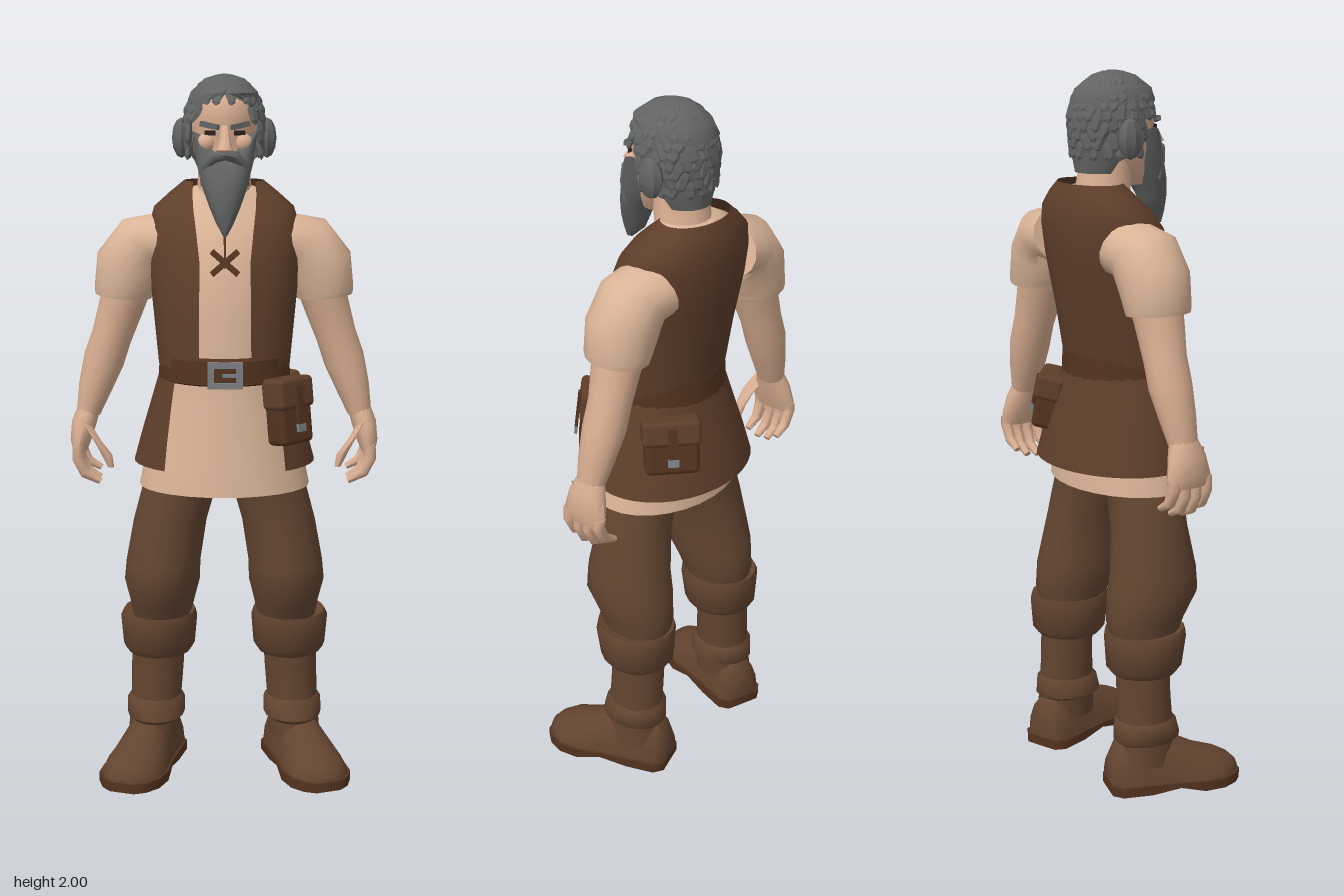
import * as THREE from 'three';
import { toCreasedNormals, mergeGeometries } from 'three/addons/utils/BufferGeometryUtils.js';
import { RoundedBoxGeometry } from 'three/addons/geometries/RoundedBoxGeometry.js';

const mat = (name, color, side = THREE.FrontSide) => {
  const m = new THREE.MeshStandardMaterial({ color, side });
  m.name = name;
  return m;
};
const RAD = Math.PI / 180;

// Elliptical ring, tilted in the xy plane; gap leaves an opening at the front
function ring([x, y, z, rx, rz, tilt = 0], n = 16, gap = 0, lift = 0) {
  const pts = [], count = gap ? n + 1 : n;
  const c = Math.cos(tilt * RAD), s = Math.sin(tilt * RAD);
  for (let i = 0; i < count; i++) {
    const a = gap * RAD + (i / n) * (2 * Math.PI - 2 * gap * RAD);
    const u = rx * Math.sin(a);
    pts.push([x + u * c, y + u * s + lift * Math.sin(a) ** 2, z + rz * Math.cos(a)]);
  }
  return pts;
}
// Body ring from height, half width, front z and back z
const body = (y, rx, zf, zb) => [0, y, (zf + zb) / 2, rx, (zf - zb) / 2];

// Skin over a row of rings; closed solids get end caps and outward faces
function loft(rings, closed = true, crease = 0.85) {
  const n = rings[0].length, pos = rings.flat(2), idx = [];
  for (let r = 0; r < rings.length - 1; r++)
    for (let i = 0; i < (closed ? n : n - 1); i++) {
      const a = r * n + i, b = r * n + (i + 1) % n;
      idx.push(a, b, a + n, b, b + n, a + n);
    }
  if (closed) {
    [0, rings.length - 1].forEach((r) => {
      const mid = [0, 1, 2].map((k) => rings[r].reduce((t, p) => t + p[k], 0) / n);
      const m = pos.length / 3;
      pos.push(...mid);
      for (let i = 0; i < n; i++) {
        const a = r * n + i, b = r * n + (i + 1) % n;
        r ? idx.push(a, b, m) : idx.push(b, a, m);
      }
    });
    const v = (i) => new THREE.Vector3().fromArray(pos, i * 3);
    let volume = 0;
    for (let i = 0; i < idx.length; i += 3) volume += v(idx[i]).dot(v(idx[i + 1]).cross(v(idx[i + 2])));
    if (volume < 0) idx.reverse();
  }
  const g = new THREE.BufferGeometry();
  g.setAttribute('position', new THREE.Float32BufferAttribute(pos, 3));
  g.setIndex(idx);
  return toCreasedNormals(g, crease);
}

export function createModel() {
  const M = {
    skin: mat('skin', 0xd8ad90), shirt: mat('linen shirt', 0xdab497),
    vest: mat('vest leather', 0x5f3e2b, THREE.DoubleSide), trousers: mat('trousers', 0x634531),
    boots: mat('boot leather', 0x634430), leather: mat('belt leather', 0x54331f),
    hair: mat('grey hair', 0x626463, THREE.DoubleSide), steel: mat('steel', 0x7c8084),
    dark: mat('dark eye', 0x2a211c),
  };
  const model = new THREE.Group();
  const add = (name, geo, m, parent = model) => {
    const mesh = new THREE.Mesh(geo, m);
    mesh.name = name;
    parent.add(mesh);
    return mesh;
  };
  const solid = (name, rows, m, n = 16, parent = model) => add(name, loft(rows.map((r) => ring(r, n))), m, parent);
  // Open garment: rows are [y, rx, front z, back z, opening angle]
  const sheet = (name, rows, m, n = 28) =>
    add(name, loft(rows.map(([y, rx, f, b, gap]) => ring(body(y, rx, f, b), n, gap)), false), m);
  const block = (name, size, at, rot, m, parent) => {
    const mesh = add(name, new THREE.BoxGeometry(...size), m, parent);
    mesh.position.set(...at);
    mesh.rotation.set(...rot);
    return mesh;
  };

  // Shirt, vest and flared vest tail
  solid('shirt', [[.86, .24, .19, -.165], [.95, .222, .18, -.16], [1.1, .182, .155, -.135], [1.2, .163, .145, -.12],
    [1.35, .18, .14, -.145], [1.5, .197, .115, -.172], [1.6, .185, .07, -.178], [1.66, .14, .02, -.162],
    [1.69, .085, .005, -.14]].map((r) => body(...r)), M.shirt, 28);
  sheet('vest', [[1.205, .183, .163, -.135, 23], [1.35, .197, .153, -.157, 21], [1.5, .212, .13, -.185, 19],
    [1.585, .21, .09, -.193, 22], [1.635, .195, .05, -.19, 26], [1.675, .15, .012, -.18, 36],
    [1.705, .112, -.015, -.165, 50]], M.vest);
  sheet('vestTail', [[1.19, .18, .158, -.138, 49], [1.1, .206, .173, -.165, 46], [1, .235, .187, -.195, 43],
    [.925, .255, .195, -.213, 41]], M.vest);

  // Belt with a framed buckle
  solid('belt', [[1.165, .175], [1.17, .184], [1.235, .181], [1.24, .172]].map(([y, r]) => body(y, r, r - .015, .04 - r)), M.leather, 28);
  const frame = new THREE.Shape([[-.048, -.037], [.048, -.037], [.048, .037], [-.048, .037]].map((p) => new THREE.Vector2(...p)));
  frame.holes.push(new THREE.Path([[-.03, -.02], [-.03, .02], [.03, .02], [.03, -.02]].map((p) => new THREE.Vector2(...p))));
  add('buckle', new THREE.ExtrudeGeometry(frame, { depth: .012, bevelEnabled: false }), M.steel).position.set(0, 1.198, .162);
  block('bucklePin', [.045, .01, .008], [.015, 1.198, .171], [0, 0, 0], M.steel);

  // Lacing at the collar
  block('collarSlit', [.006, .13, .006], [0, 1.545, .098], [-.45, 0, 0], M.leather);
  for (const s of [-1, 1]) block('lace', [.095, .015, .012], [0, 1.5, .122], [-.3, 0, s * .72], M.leather);

  // Belt pouches, front and back
  const pouch = (name, at, turn, tilt, w, h) => {
    const g = new THREE.Group();
    g.name = name;
    add('pouchBody', new RoundedBoxGeometry(w, h, .07, 2, .015), M.leather, g);
    add('pouchFlap', new RoundedBoxGeometry(w + .012, h * .48, .08, 2, .014), M.vest, g).position.set(0, h * .29, .003);
    block('pouchStrap', [.025, h * .6, .008], [0, h * .1, .046], [0, 0, 0], M.leather, g);
    block('pouchClasp', [.03, .022, .008], [0, -h * .24, .046], [0, 0, 0], M.steel, g);
    g.position.set(...at);
    g.rotation.set(tilt, turn, 0, 'YXZ');
    model.add(g);
  };
  pouch('frontPouch', [.175, 1.09, .125], .75, -.12, .12, .18);
  pouch('backPouch', [.143, 1.08, -.13], 2.42, -.2, .15, .15);

  for (const s of [-1, 1]) {
    const side = s > 0 ? 'left' : 'right';
    const limb = (name, rows, m, n = 16) =>
      solid(side + name, rows.map(([x, y, z, a, b, t = 0]) => [s * x, y, z, a, b, s * t]), m, n);

    // Sleeve, arm and hand
    limb('Sleeve', [[.16, 1.54, -.07, .08, .1, 75], [.225, 1.53, -.07, .09, .1, 50], [.262, 1.47, -.067, .1, .098, 22],
      [.282, 1.4, -.067, .083, .094, 7], [.283, 1.385, -.067, .08, .09, 5]], M.shirt);
    limb('Arm', [[.27, 1.42, -.067, .068, .075, 20], [.292, 1.35, -.067, .063, .068, 20], [.318, 1.27, -.07, .057, .06, 20],
      [.342, 1.2, -.07, .058, .06, 20], [.368, 1.12, -.065, .047, .052, 18], [.387, 1.05, -.06, .034, .042, 12]], M.skin);
    limb('Palm', [[.385, 1.065, -.06, .032, .04, 12], [.4, 1.02, -.058, .035, .058, 8], [.41, .97, -.058, .03, .07, 0],
      [.412, .94, -.058, .02, .066, 0]], M.skin, 12);
    for (let i = 0; i < 4; i++) {
      const z = -.11 + i * .035, d = [.025, .005, 0, .012][i];
      limb('Finger', [[.412, .965, z, .018, .018], [.415, .915 + d, z, .018, .017, -15], [.395, .872 + d, z, .016, .015, -35],
        [.355, .85 + d, z, .009, .01, -55]], M.skin, 8);
    }
    limb('Thumb', [[.392, 1.03, -.02, .022, .024, 40], [.362, .985, .004, .021, .02, 35], [.335, .945, .01, .018, .017, 15],
      [.322, .905, .01, .009, .01, 5]], M.skin, 8);

    // Trouser leg and boot
    limb('TrouserLeg', [[.1, .96, 0, .095, .12], [.125, .86, .005, .105, .11], [.155, .75, 0, .104, .112], [.175, .63, 0, .106, .13],
      [.179, .57, -.005, .108, .138], [.18, .5, -.03, .093, .12], [.182, .44, -.035, .08, .1]], M.trousers);
    limb('BootCuff', [[.188, .462, -.038, .085, .1], [.188, .47, -.038, .104, .116], [.19, .45, -.038, .111, .12],
      [.19, .365, -.042, .104, .11], [.19, .345, -.042, .09, .095], [.19, .36, -.042, .07, .075]], M.boots);
    limb('BootShaft', [[.19, .4, -.045, .077, .08], [.195, .3, -.048, .076, .078], [.2, .2, -.045, .073, .082],
      [.208, .08, -.045, .075, .09]], M.boots);
    limb('AnkleBand', [[.203, .14, -.04, .072, .092], [.201, .15, -.04, .084, .1], [.2, .195, -.045, .084, .092],
      [.2, .21, -.045, .07, .08]], M.boots);
    const foot = new THREE.Group();
    foot.name = side + 'Foot';
    const last = [[-.13, .045, .1], [-.105, .068, .15], [-.02, .073, .18], [.06, .08, .145], [.13, .092, .105],
      [.19, .085, .085], [.23, .06, .065], [.25, .03, .045]];
    add('bootFoot', loft(last.map(([z, w, h]) => Array.from({ length: 16 }, (_, i) => {
      const a = i * Math.PI / 8;
      return [w * Math.cos(a), .02 + (h - .02) * Math.max(0, Math.sin(a)), z];
    }))), M.boots, foot);
    add('bootSole', loft(last.map(([z, w]) => [[1, 0], [1, .028], [-1, .028], [-1, 0]].map(([k, y]) =>
      [k * (w + .006), y || (z > 0 && z < .1 ? .014 : 0), z * 1.01]))), M.leather, foot);
    foot.position.set(s * .215, 0, -.03);
    foot.rotation.y = s * .32;
    model.add(foot);

    // Eye, brow, moustache half and side tuft
    block('eye', [.03, .012, .006], [s * .04, 1.846, .097], [0, s * .4, 0], M.dark);
    block('brow', [.052, .014, .016], [s * .041, 1.866, .1], [0, s * .4, s * .18], M.hair);
    limb('Moustache', [[.0, 1.79, .13, .014, .016, 80], [.03, 1.783, .122, .016, .018, 60], [.055, 1.755, .105, .013, .016, 20],
      [.062, 1.705, .1, .004, .006, 0]], M.hair, 8);
    add('cheekbone', new THREE.SphereGeometry(.026, 12, 8), M.skin).position.set(s * .05, 1.818, .08);
    const tuft = new THREE.SphereGeometry(1, 8, 6).scale(.026, .055, .038);
    add(side + 'EarTuft', toCreasedNormals(tuft, .4), M.hair).position.set(s * .118, 1.825, -.04);
  }

  // Neck, head and nose
  solid('neck', [[0, 1.6, -.055, .1, .1], [0, 1.67, -.05, .076, .078], [0, 1.79, -.03, .068, .075]], M.skin);
  solid('head', [[1.69, .035, .085, 0], [1.73, .06, .102, -.06], [1.79, .083, .104, -.1], [1.84, .09, .1, -.115],
    [1.87, .091, .11, -.12], [1.93, .087, .1, -.115], [1.975, .055, .05, -.08]].map((r) => body(...r)), M.skin, 20);
  solid('nose', [[0, 1.866, .1, .011, .012], [0, 1.83, .115, .015, .022], [0, 1.803, .126, .023, .029], [0, 1.79, .115, .014, .018]], M.skin, 10);

  // Beard, sweeping up along the cheeks and down to a point
  const beard = [[1.775, .089, .118, .0, .075], [1.74, .078, .138, .012, .03], [1.7, .06, .152, .05, 0], [1.65, .042, .158, .075, 0],
    [1.61, .025, .157, .09, 0], [1.575, .006, .15, .13, 0]];
  add('beard', loft(beard.map(([y, rx, f, b, lift]) => ring(body(y, rx, f, b), 20, 0, lift))), M.hair);

  // Hair cap covered with overlapping flat locks
  sheet('hairCap', [[1.73, .07, .03, -.125, 105], [1.8, .1, .075, -.135, 92], [1.87, .104, .1, -.138, 68], [1.92, .102, .108, -.136, 38],
    [1.95, .092, .098, -.122, 4], [1.985, .055, .05, -.075, 2], [1.997, .004, -.01, -.02, 1]], M.hair, 24);
  const strand = new THREE.SphereGeometry(1, 6, 4).toNonIndexed();
  const locks = [], o = new THREE.Object3D();
  for (let row = 0; row < 10; row++) {
    const phi = (14 + row * 12) * RAD, n = Math.round(5 + 14 * Math.sin(phi));
    for (let i = 0; i < n; i++) {
      const a = ((i + (row % 2) / 2) / n) * 2 * Math.PI - Math.PI, off = Math.abs(a);
      const ny = Math.cos(phi), y = 1.868 + .122 * ny;
      if (y < (off < .7 ? 1.94 : off < 1.25 ? 1.88 : off < 1.6 ? 1.8 : 1.74)) continue;
      const r = ny < 0 ? 1 - .12 * ny * ny : Math.sin(phi);
      o.position.set(.102 * r * Math.sin(a), y, -.015 + .119 * r * Math.cos(a));
      o.lookAt(o.position.x + Math.sin(a) * r, y + Math.max(ny, 0) + .12, o.position.z + Math.cos(a) * r);
      o.rotateZ(.45 * Math.sin(row * 5.3 + i * 2.7));
      o.scale.set(.02, .04, .01);
      o.updateMatrix();
      locks.push(strand.clone().applyMatrix4(o.matrix));
    }
  }
  const hair = mergeGeometries(locks);
  hair.computeVertexNormals();
  add('hairLocks', hair, M.hair);
  return model;
}
